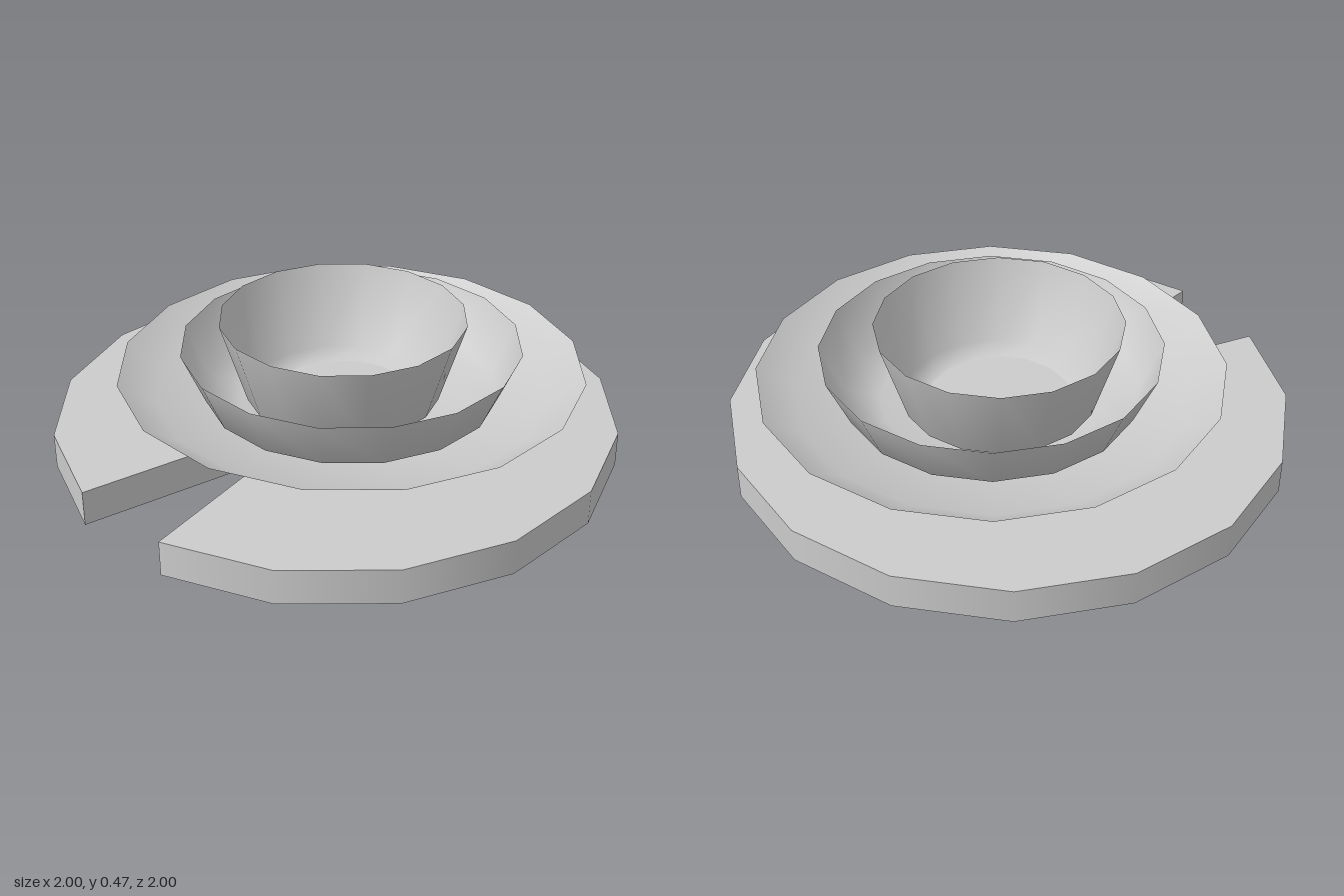
import * as THREE from 'three';

const SIDES = 16;
const BASE_HEIGHT = 0.127;

// Thin open dish turned from [radius, height] points
function dish(name, points, x, z, material) {
  const group = new THREE.Group();
  group.name = name;
  const profile = points.map(([r, y]) => new THREE.Vector2(r, y));
  const wall = new THREE.Mesh(new THREE.LatheGeometry(profile, SIDES), material);
  wall.name = name + 'Wall';
  // Flat floor, kept separate for a sharp edge
  const [floorRadius, floorY] = points[0];
  const floorGeometry = new THREE.CircleGeometry(floorRadius, SIDES).rotateX(-Math.PI / 2);
  const floor = new THREE.Mesh(floorGeometry, material);
  floor.name = name + 'Floor';
  floor.position.y = floorY;
  group.add(wall, floor);
  group.position.set(x, 0, z);
  return group;
}

export function createModel() {
  const model = new THREE.Group();
  model.name = 'stackedDishes';
  const material = new THREE.MeshStandardMaterial({ color: 0xcccccc, side: THREE.DoubleSide });

  // Round base with one segment cut out
  const base = new THREE.Group();
  base.name = 'base';
  const step = (Math.PI * 2) / SIDES;
  const cutStart = Math.PI * 1.5;
  const cutEnd = cutStart + step;
  const disc = new THREE.Mesh(
    new THREE.CylinderGeometry(1, 1, BASE_HEIGHT, SIDES - 1, 1, false, cutEnd, Math.PI * 2 - step),
    material
  );
  disc.name = 'baseDisc';
  disc.position.y = BASE_HEIGHT / 2;
  base.add(disc);

  // Walls of the cut
  for (const angle of [cutStart, cutEnd]) {
    const geometry = new THREE.PlaneGeometry(1, BASE_HEIGHT).translate(0.5, BASE_HEIGHT / 2, 0);
    const wall = new THREE.Mesh(geometry, material);
    wall.name = 'cutWall';
    wall.rotation.y = angle - Math.PI / 2;
    base.add(wall);
  }
  model.add(base);

  // Wide plate, bowl and cup, stacked
  model.add(
    dish('plate', [[0.36, 0.129], [0.47, 0.148], [0.7, 0.197], [0.83, 0.283]], 0.065, 0, material),
    dish('bowl', [[0.3, 0.14], [0.4, 0.155], [0.525, 0.19], [0.605, 0.373]], 0.065, 0, material),
    dish('cup', [[0.263, 0.148], [0.345, 0.17], [0.4375, 0.47]], 0.042, -0.017, material)
  );
  return model;
}
